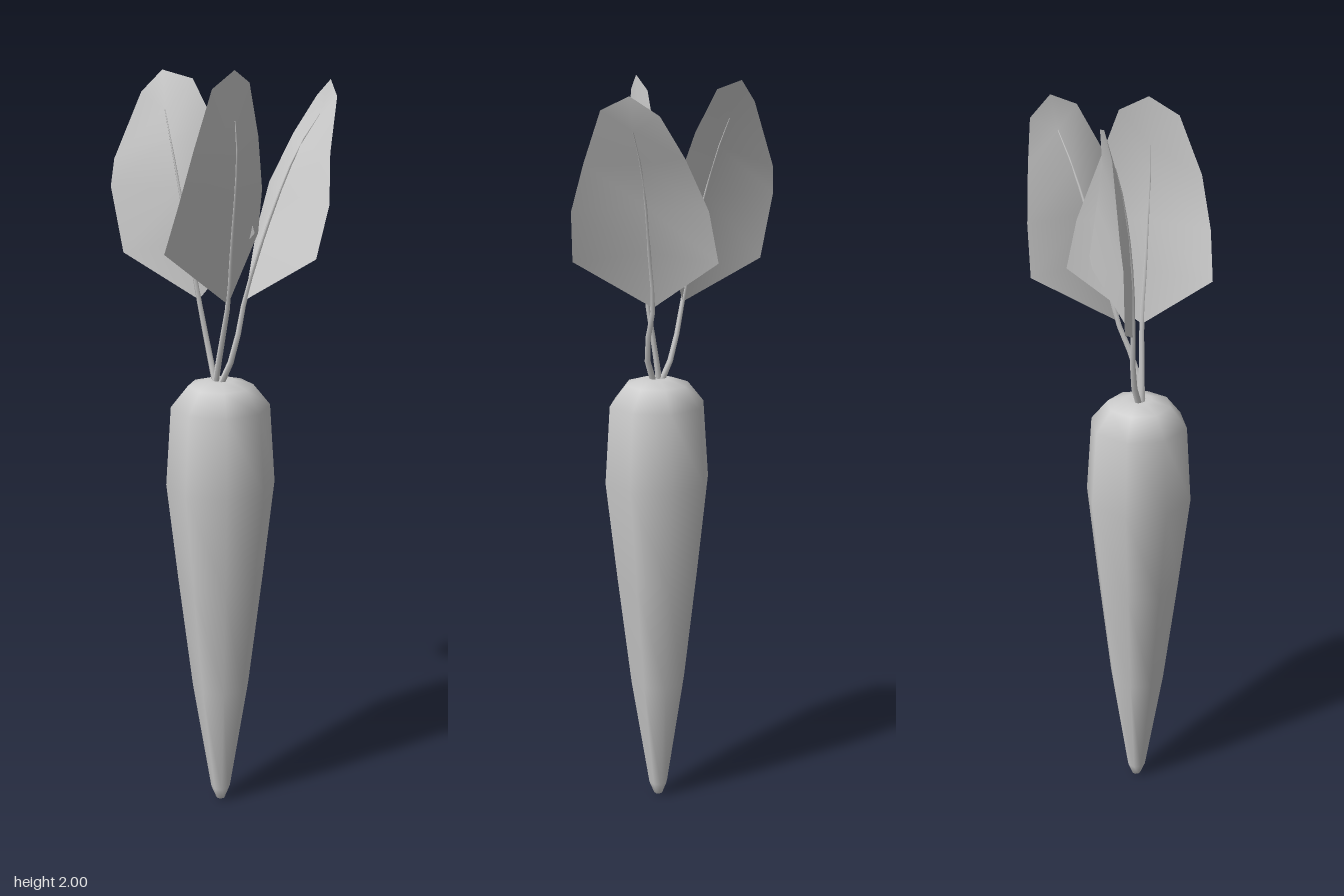
import * as THREE from 'three';

const grey = new THREE.MeshStandardMaterial({ color: 0xcccccc });
const leafGrey = new THREE.MeshStandardMaterial({ color: 0xcccccc, side: THREE.DoubleSide });

function add(group, name, geometry, material) {
  const mesh = new THREE.Mesh(geometry, material);
  mesh.name = name;
  group.add(mesh);
}

// Blade from cross-sections (left edge, midrib, right edge) between a base point and a tip
function leafGeometry({ base, rows, tip }) {
  const points = [base, ...rows.flat(), tip];
  const index = [0, 2, 1, 0, 3, 2];
  for (let r = 0; r < rows.length - 1; r++) {
    for (let c = 0; c < 2; c++) {
      const a = 1 + r * 3 + c, b = a + 1, d = a + 3, e = a + 4;
      index.push(a, b, e, a, e, d);
    }
  }
  const last = 1 + (rows.length - 1) * 3, end = points.length - 1;
  index.push(last, last + 1, end, last + 1, last + 2, end);
  const g = new THREE.BufferGeometry();
  g.setAttribute('position', new THREE.Float32BufferAttribute(points.flat(), 3));
  g.setIndex(index);
  g.computeVertexNormals();
  return g;
}

// Thin stalk that tapers to a point along the midrib
function stemGeometry(points) {
  const curve = new THREE.CatmullRomCurve3(points.map(p => new THREE.Vector3(...p)));
  const rings = 10, sides = 5;
  const g = new THREE.TubeGeometry(curve, rings, 0.009, sides);
  const pos = g.attributes.position, v = new THREE.Vector3();
  for (let i = 0; i < pos.count; i++) {
    const t = Math.floor(i / (sides + 1)) / rings;
    v.fromBufferAttribute(pos, i).lerp(curve.getPointAt(t), t * 0.85);
    pos.setXYZ(i, v.x, v.y, v.z);
  }
  g.computeVertexNormals();
  return g;
}

const leaves = {
  right: {
    root: [[0.03, 1.2, 0.06], [0, 1.28, 0.05]],
    base: [-0.03, 1.42, 0.055],
    rows: [
      [[-0.255, 1.52, 0.09], [-0.06, 1.57, 0.06], [0.045, 1.58, -0.08]],
      [[-0.29, 1.69, 0.095], [-0.09, 1.7, 0.058], [0.015, 1.74, -0.05]],
      [[-0.285, 1.76, 0.085], [-0.125, 1.82, 0.05], [-0.04, 1.86, -0.02]],
      [[-0.22, 1.93, 0.05], [-0.15, 1.89, 0.04], [-0.1, 1.965, -0.01]],
    ],
    tip: [-0.175, 1.985, 0.02],
  },
  left: {
    root: [[0.03, 1.2, 0.065], [0.045, 1.3, 0.06]],
    base: [0.065, 1.42, 0.055],
    rows: [
      [[0.018, 1.57, 0.245], [0.08, 1.57, 0.06], [0.018, 1.57, -0.13]],
      [[0.052, 1.69, 0.23], [0.092, 1.69, 0.062], [0.045, 1.69, -0.11]],
      [[0.075, 1.82, 0.2], [0.1, 1.8, 0.065], [0.07, 1.83, -0.06]],
      [[0.083, 1.96, 0.14], [0.095, 1.88, 0.066], [0.08, 1.965, -0.01]],
    ],
    tip: [0.09, 2, 0.062],
  },
  back: {
    root: [[0.045, 1.2, 0.065], [0.072, 1.29, 0.04]],
    base: [0.068, 1.42, -0.01],
    rows: [
      [[-0.045, 1.56, -0.205], [0.09, 1.57, -0.055], [0.28, 1.55, -0.022]],
      [[-0.015, 1.69, -0.22], [0.11, 1.69, -0.1], [0.29, 1.68, -0.06]],
      [[0.05, 1.82, -0.235], [0.135, 1.8, -0.145], [0.265, 1.8, -0.095]],
      [[0.115, 1.92, -0.247], [0.165, 1.88, -0.19], [0.237, 1.93, -0.16]],
    ],
    tip: [0.18, 1.965, -0.213],
  },
};

export function createModel() {
  const model = new THREE.Group();
  model.name = 'carrot';

  // Eight-sided tapering root
  const profile = [[0, 0.005], [0.012, 0.01], [0.026, 0.045], [0.076, 0.36], [0.113, 0.67],
    [0.143, 0.94], [0.129, 1.15], [0.085, 1.205], [0.035, 1.22], [0, 1.215]];
  const body = new THREE.LatheGeometry(profile.map(([r, y]) => new THREE.Vector2(r, y)), 8);
  body.translate(0.041, 0, 0.055);
  add(model, 'root', body, grey);

  // Three leaves, each with its stalk running up the midrib
  for (const [side, leaf] of Object.entries(leaves)) {
    const group = new THREE.Group();
    group.name = side + 'Leaf';
    add(group, 'blade', leafGeometry(leaf), leafGrey);
    add(group, 'stem', stemGeometry([...leaf.root, leaf.base, ...leaf.rows.map(r => r[1])]), grey);
    model.add(group);
  }
  return model;
}
